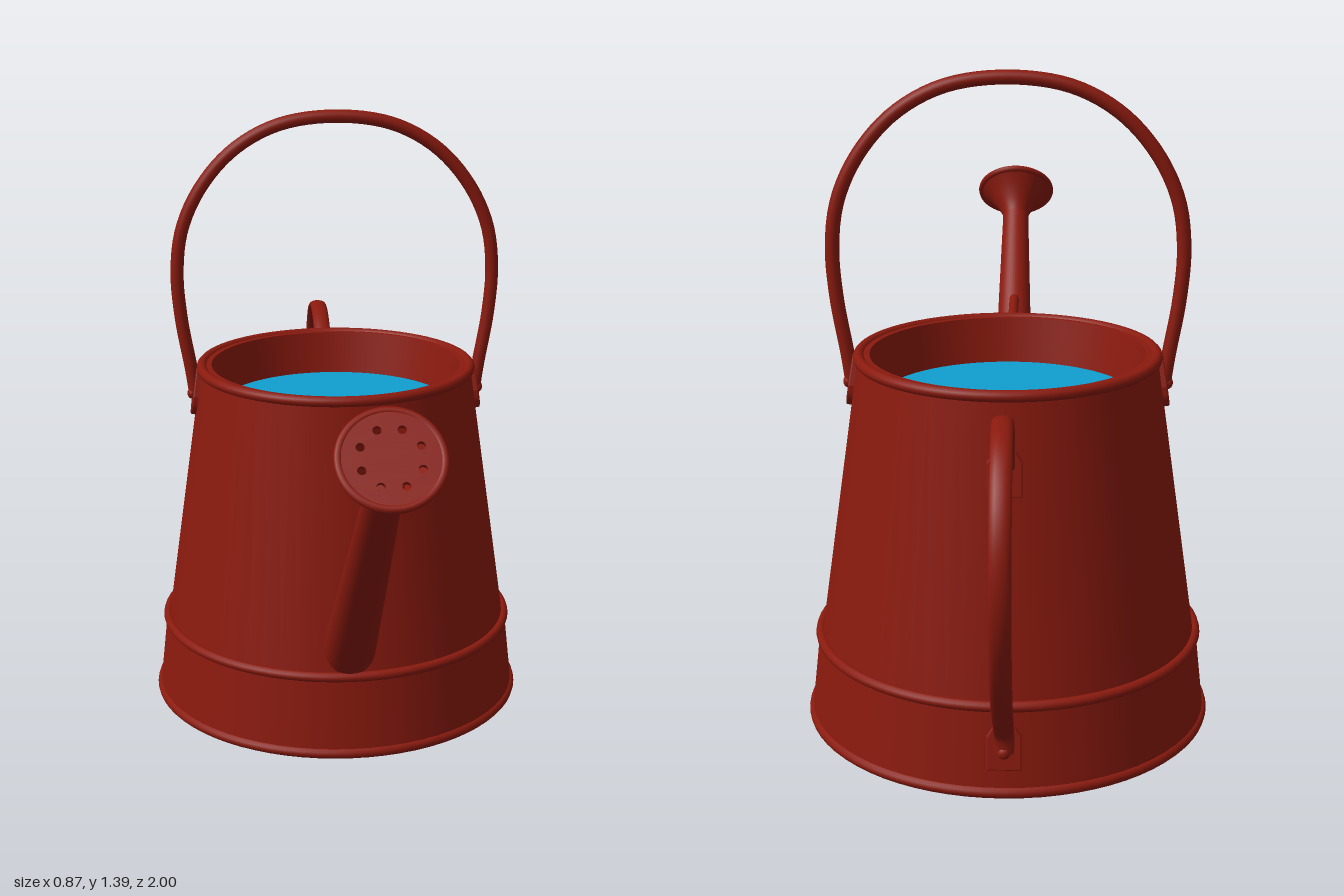
import * as THREE from 'three';

const red = new THREE.MeshStandardMaterial({ color: 0x8a1a0e });
const redThin = new THREE.MeshStandardMaterial({ color: 0x8a1a0e, side: THREE.DoubleSide });
const blue = new THREE.MeshStandardMaterial({ color: 0x109fd0 });
const AXIS_Z = -0.225; // centre line of the can
const v2 = ([x, y]) => new THREE.Vector2(x, y);

function add(parent, name, geometry, material = red) {
  const mesh = new THREE.Mesh(geometry, material);
  mesh.name = name;
  parent.add(mesh);
  return mesh;
}

function lathe(parent, name, points) {
  return add(parent, name, new THREE.LatheGeometry(points.map(v2), 64), redThin);
}

// Rolled bead around the can
function bead(parent, name, radius, tube, y) {
  const mesh = add(parent, name, new THREE.TorusGeometry(radius, tube, 12, 72));
  mesh.rotation.x = Math.PI / 2;
  mesh.position.y = y;
}

function tube(parent, name, points, radius) {
  const curve = new THREE.CatmullRomCurve3(points.map((p) => new THREE.Vector3(...p)));
  return add(parent, name, new THREE.TubeGeometry(curve, 80, radius, 12));
}

// Riveted plate lying on the sloping wall, at an angle around the can
function bracket(parent, name, angle, y, shape) {
  const g = new THREE.Group();
  g.name = name;
  const r = 0.431 - 0.145 * y;
  g.position.set(Math.sin(angle) * r, y, Math.cos(angle) * r);
  g.rotation.set(-0.145, angle, 0, 'YXZ');
  const plate = new THREE.ExtrudeGeometry(shape, {
    depth: 0.012, bevelThickness: 0.003, bevelSize: 0.003, bevelSegments: 2, curveSegments: 16,
  });
  add(g, 'plate', plate).position.z = -0.004;
  const rivet = add(g, 'rivet', new THREE.SphereGeometry(0.014, 16, 10));
  rivet.scale.z = 0.8;
  rivet.position.z = 0.013;
  parent.add(g);
}

// Ear: round bottom, narrowing towards the top
function earShape() {
  const s = new THREE.Shape();
  s.moveTo(0.014, 0.06);
  s.lineTo(-0.014, 0.06);
  s.lineTo(-0.032, 0);
  s.lineTo(-0.032, -0.015);
  s.absarc(0, -0.015, 0.032, Math.PI, Math.PI * 2, false);
  s.lineTo(0.032, 0);
  s.closePath();
  return s;
}

// Strap end: square bottom, shoulders cut at the top
function strapShape() {
  return new THREE.Shape([[-0.032, -0.036], [0.032, -0.036], [0.032, 0.03],
    [0.02, 0.05], [-0.02, 0.05], [-0.032, 0.03]].map(v2));
}

function buildCan() {
  const can = new THREE.Group();
  can.name = 'can';
  can.position.z = AXIS_Z;
  lathe(can, 'lowerWall', [[0.43, 0.006], [0.41, 0.185]]);
  lathe(can, 'upperWall', [[0.404, 0.185], [0.315, 0.8]]);
  lathe(can, 'rim', [[0.315, 0.808], [0.29, 0.808]]);
  lathe(can, 'innerWall', [[0.29, 0.808], [0.27, 0.7]]);
  bead(can, 'bottomBead', 0.425, 0.012, 0.012);
  bead(can, 'middleBead', 0.407, 0.011, 0.19);
  bead(can, 'topBead', 0.313, 0.012, 0.802);
  const base = add(can, 'base', new THREE.CircleGeometry(0.43, 64));
  base.rotation.x = Math.PI / 2;
  base.position.y = 0.003;
  const water = add(can, 'water', new THREE.CircleGeometry(0.275, 64), blue);
  water.rotation.x = -Math.PI / 2;
  water.position.y = 0.71;

  // Carrying handle arched across the opening
  const half = [[0.328, 0.735], [0.337, 0.8], [0.357, 0.92], [0.364, 1.03], [0.35, 1.13],
    [0.305, 1.225], [0.23, 1.308], [0.13, 1.362]];
  const arch = [...half.map(([x, y]) => [x, y, 0]), [0, 1.38, 0],
    ...half.map(([x, y]) => [-x, y, 0]).reverse()];
  tube(can, 'carryHandle', arch, 0.015);
  for (const s of [1, -1]) bracket(can, 'handleEar', s * Math.PI / 2, 0.74, earShape());
  bracket(can, 'upperStrapPlate', Math.PI, 0.645, strapShape());
  bracket(can, 'lowerStrapPlate', Math.PI, 0.1, strapShape());
  return can;
}

function buildSpout() {
  const spout = new THREE.Group();
  spout.name = 'spout';
  const length = 1.037;
  spout.position.set(0, 0.26, 0.166);
  spout.rotation.x = Math.atan2(0.774, 0.69);
  const pipe = add(spout, 'pipe', new THREE.CylinderGeometry(0.033, 0.06, 1.05, 40));
  pipe.position.y = 0.435;

  // Flared rose with a pierced face
  lathe(spout, 'rose', [[0.032, length - 0.1], [0.036, length - 0.085], [0.048, length - 0.062],
    [0.07, length - 0.034], [0.093, length - 0.012]]);
  bead(spout, 'roseEdge', 0.092, 0.008, length - 0.008);
  const face = new THREE.Shape().absarc(0, 0, 0.093, 0, Math.PI * 2, false);
  for (let i = 0; i < 8; i++) {
    const a = (i + 0.5) * Math.PI / 4;
    face.holes.push(new THREE.Path().absarc(Math.cos(a) * 0.057, Math.sin(a) * 0.057, 0.008, 0, Math.PI * 2, true));
  }
  const disc = add(spout, 'roseFace',
    new THREE.ExtrudeGeometry(face, { depth: 0.01, bevelEnabled: false, curveSegments: 24 }));
  disc.rotation.x = -Math.PI / 2;
  disc.position.y = length - 0.012;
  return spout;
}

export function createModel() {
  const model = new THREE.Group();
  model.name = 'wateringCan';
  model.add(buildCan(), buildSpout());

  // Stay between can and spout
  const stay = add(model, 'spoutStay', new THREE.CylinderGeometry(0.012, 0.012, 0.55, 16));
  stay.rotation.x = Math.PI / 2;
  stay.position.set(0, 0.717, 0.355);

  // Rear handle: a flattened strap
  const strap = tube(model, 'rearHandle', [[0, 0.665, -0.568], [0, 0.712, -0.578], [0, 0.762, -0.625],
    [0, 0.803, -0.7], [0, 0.815, -0.785], [0, 0.79, -0.868], [0, 0.73, -0.935], [0, 0.66, -0.972],
    [0, 0.58, -0.985], [0, 0.49, -0.972], [0, 0.4, -0.932], [0, 0.315, -0.865], [0, 0.24, -0.78],
    [0, 0.175, -0.695], [0, 0.138, -0.655], [0, 0.1, -0.65]], 0.011);
  strap.scale.x = 1.9;
  return model;
}
